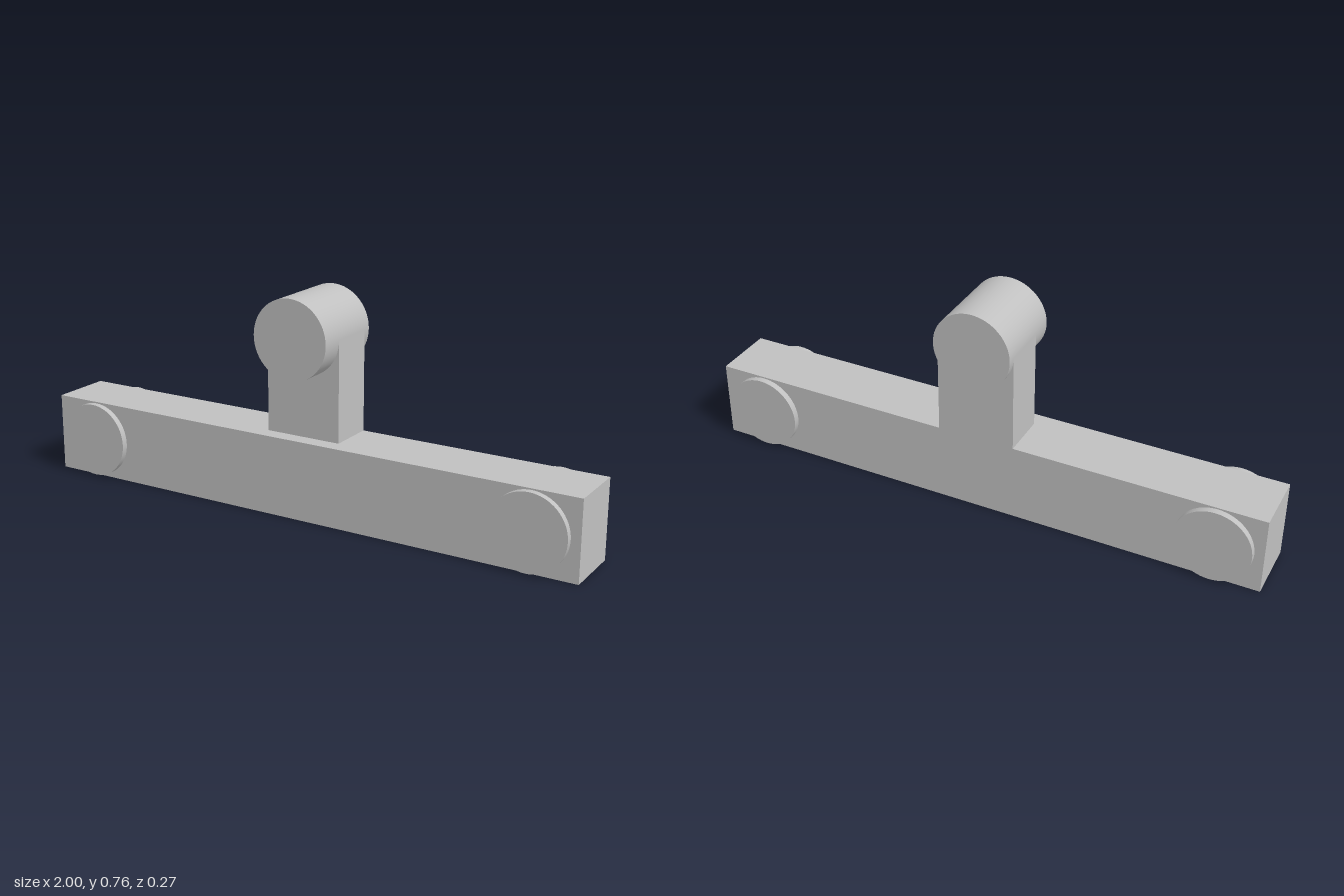
import * as THREE from 'three';

export function createModel() {
  const model = new THREE.Group();
  const grey = new THREE.MeshStandardMaterial({ color: 0xc0c0c0 });
  grey.name = 'plain grey';

  function add(name, geometry, x, y, z) {
    const mesh = new THREE.Mesh(geometry, grey);
    mesh.name = name;
    mesh.position.set(x, y, z);
    model.add(mesh);
  }
  // Cylinder lying along z
  const drum = (radius, length) =>
    new THREE.CylinderGeometry(radius, radius, length, 64).rotateX(Math.PI / 2);

  // Long beam, with the post flush to its back face
  add('beam', new THREE.BoxGeometry(2, 0.274, 0.218), 0, 0.137, 0);
  add('post', new THREE.BoxGeometry(0.272, 0.346, 0.164), 0, 0.447, -0.027);

  // Round head across the top of the post
  add('head', drum(0.136, 0.274), 0, 0.62, 0);

  // Shallow discs on the front and back at both ends
  for (const [side, x] of [['left', 0.836], ['right', -0.836]]) {
    for (const [face, z] of [['Front', 0.12], ['Back', -0.12]]) {
      add(side + face + 'Disc', drum(0.131, 0.022), x, 0.138, z);
    }
  }
  return model;
}
